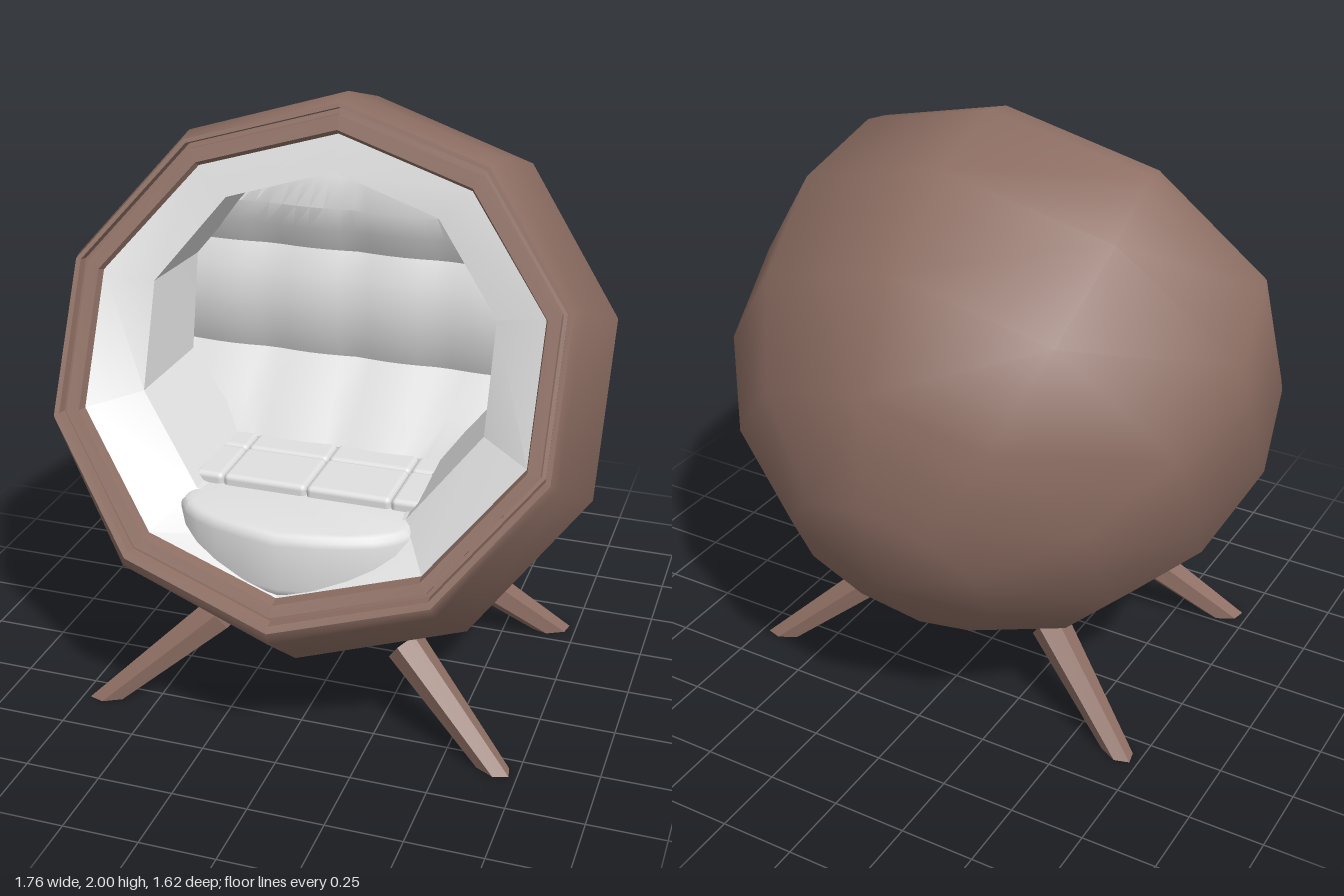
import * as THREE from 'three';
import { mergeVertices, toCreasedNormals } from 'three/addons/utils/BufferGeometryUtils.js';
import { RoundedBoxGeometry } from 'three/addons/geometries/RoundedBoxGeometry.js';

const SIDES = 10;

// Skin over ten-sided rings, each [topY, topZ, bottomY, bottomZ, half width]
function loft(rings) {
  const pos = [], index = [];
  rings.forEach(([ty, tz, by, bz, w], i) => {
    for (let j = 0; j < SIDES; j++) {
      const a = (j / SIDES) * Math.PI * 2, c = Math.cos(a);
      pos.push(w * Math.sin(a), (ty + by) / 2 + (c * (ty - by)) / 2, (tz + bz) / 2 + (c * (tz - bz)) / 2);
      if (i === rings.length - 1) continue;
      const k = (j + 1) % SIDES, p = i * SIDES, q = p + SIDES;
      index.push(p + j, q + j, p + k, q + j, q + k, p + k);
    }
  });
  let g = new THREE.BufferGeometry();
  g.setAttribute('position', new THREE.Float32BufferAttribute(pos, 3));
  g.setIndex(index);
  g = mergeVertices(g);
  g.computeVertexNormals();
  return g;
}

// Tapered leg between two points, foot cut level with the floor
function legGeometry(top, foot) {
  const dir = top.clone().sub(foot);
  const g = new THREE.CylinderGeometry(0.066, 0.042, dir.length(), 6);
  g.applyQuaternion(new THREE.Quaternion().setFromUnitVectors(new THREE.Vector3(0, 1, 0), dir.clone().normalize()));
  const mid = top.clone().add(foot).multiplyScalar(0.5);
  g.translate(mid.x, mid.y, mid.z);
  const p = g.attributes.position;
  for (let i = 0; i < p.count; i++) {
    if (p.getY(i) > 0.1) continue;
    const t = p.getY(i) / dir.y;
    p.setXYZ(i, p.getX(i) - dir.x * t, 0, p.getZ(i) - dir.z * t);
  }
  return toCreasedNormals(g, 0.3);
}

// Depth of the back cushion by height: padded horizontal rolls
const ROLLS = [[0.6, 0.15], [0.83, 0.12], [0.95, 0.02], [1.07, -0.09], [1.16, -0.055], [1.26, -0.05],
  [1.36, -0.06], [1.44, -0.1], [1.52, -0.06], [1.6, -0.04], [1.7, -0.06], [1.87, -0.13]];

function backGeometry() {
  const cols = 24;
  const g = new THREE.PlaneGeometry(2, 1, cols, ROLLS.length - 1);
  const p = g.attributes.position;
  for (let i = 0; i < p.count; i++) {
    const [y, z] = ROLLS[ROLLS.length - 1 - Math.floor(i / (cols + 1))];
    const w = 0.68 * Math.sqrt(Math.max(0.05, 1 - ((y - 1.24) / 0.66) ** 2));
    const x = p.getX(i) * w;
    p.setXYZ(i, x, y, z + 0.012 * Math.abs(Math.sin((Math.PI * x) / 0.3)));
  }
  return toCreasedNormals(g, 0.45);
}

export function createModel() {
  const model = new THREE.Group();
  const brown = new THREE.MeshStandardMaterial({ color: 0x8d6e63 });
  brown.name = 'brown shell';
  const white = new THREE.MeshStandardMaterial({ color: 0xe0e0e0, side: THREE.DoubleSide });
  white.name = 'white padding';
  const add = (name, geometry, material, parent = model) => {
    const mesh = new THREE.Mesh(geometry, material);
    mesh.name = name;
    parent.add(mesh);
    return mesh;
  };

  // Round shell, from the rear pole to the opening
  add('shell', loft([
    [0.65, -0.71, 0.65, -0.71, 0],
    [1.0, -0.81, 0.38, -0.48, 0.351],
    [1.36, -0.77, 0.2, -0.13, 0.666],
    [1.68, -0.6, 0.17, 0.2, 0.855],
    [1.91, -0.31, 0.27, 0.55, 0.926],
    [2.0, 0, 0.47, 0.8, 0.866],
    [1.985, 0.09, 0.51, 0.808, 0.845],
  ]), brown);

  // Stepped rim around the opening
  add('rim', toCreasedNormals(loft([
    [1.985, 0.09, 0.51, 0.808, 0.845],
    [1.972, 0.096, 0.53, 0.795, 0.828],
    [1.964, 0.07, 0.532, 0.765, 0.823],
    [1.95, 0.077, 0.545, 0.76, 0.81],
    [1.948, 0.095, 0.548, 0.775, 0.808],
    [1.905, 0.115, 0.58, 0.755, 0.765],
    [1.89, 0.1, 0.585, 0.715, 0.757],
  ]), 0.2), brown);

  // Padded lining: sloping collar, then the inner wall
  add('lining', toCreasedNormals(loft([
    [1.89, 0.1, 0.585, 0.715, 0.757],
    [1.78, 0.145, 0.7, 0.53, 0.59],
    [1.755, -0.12, 0.72, 0.1, 0.575],
  ]), 0.3), white);

  add('backCushion', backGeometry(), white);

  // Seat: tufted rows behind a rounded front pad
  const seat = new THREE.Group();
  seat.name = 'seat';
  model.add(seat);
  for (const [z0, z1] of [[0.04, 0.22], [0.22, 0.44]]) {
    for (const [x0, x1] of [[-0.38, -0.28], [-0.28, 0], [0, 0.28], [0.28, 0.38]]) {
      const cushion = add('seatCushion', new RoundedBoxGeometry(x1 - x0, 0.16, z1 - z0, 2, 0.018), white, seat);
      cushion.position.set((x0 + x1) / 2, 0.755, (z0 + z1) / 2);
    }
  }
  const outline = new THREE.Shape();
  outline.moveTo(-0.35, -0.3);
  outline.lineTo(-0.35, -0.54);
  outline.quadraticCurveTo(-0.31, -0.64, 0, -0.685);
  outline.quadraticCurveTo(0.31, -0.64, 0.35, -0.54);
  outline.lineTo(0.35, -0.3);
  const pad = new THREE.ExtrudeGeometry(outline, {
    depth: 0.15, bevelSize: 0.03, bevelThickness: 0.035, bevelSegments: 3, curveSegments: 5,
  });
  pad.rotateX(-Math.PI / 2);
  pad.translate(0, 0.615, 0);
  add('frontPad', toCreasedNormals(pad, 0.6), white, seat);

  // Four splayed legs
  for (const side of [-1, 1]) {
    for (const [name, topZ, footZ] of [['frontLeg', 0.4, 0.56], ['backLeg', -0.175, -0.33]]) {
      add(name, legGeometry(
        new THREE.Vector3(side * 0.325, 0.295, topZ),
        new THREE.Vector3(side * 0.665, 0, footZ)), brown);
    }
  }
  return model;
}
